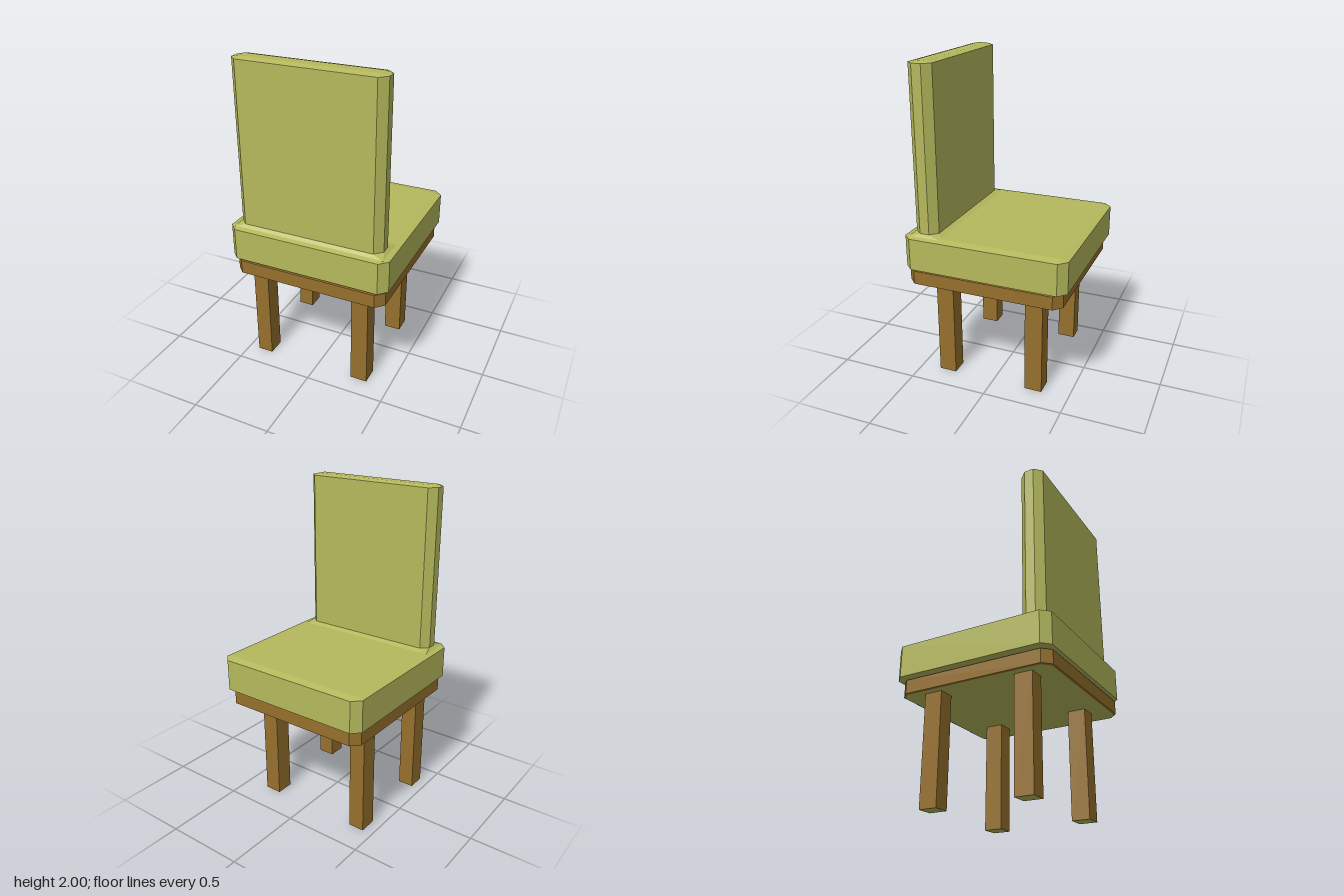
import * as THREE from 'three';

const fabric = new THREE.MeshStandardMaterial({ color: 0xb5b95c, flatShading: true });
const wood = new THREE.MeshStandardMaterial({ color: 0x96702c, flatShading: true });

// Corner-cut rectangle at height y: [y, x0, x1, z0, z1, cutX, cutZ]
function ring([y, x0, x1, z0, z1, cx, cz = cx]) {
  return [
    [x1, z0 + cz], [x1, z1 - cz], [x1 - cx, z1], [x0 + cx, z1],
    [x0, z1 - cz], [x0, z0 + cz], [x0 + cx, z0], [x1 - cx, z0],
  ].map(([x, z]) => [x, y, z]);
}

// Stack of rings, bottom to top, with both ends closed; the underside is material group 1
function stack(name, sections, material) {
  const rings = sections.map(ring);
  const n = 8;
  const positions = [];
  const tri = (...corners) => corners.forEach((p) => positions.push(...p));
  for (let k = 0; k < rings.length - 1; k++) {
    const lo = rings[k], up = rings[k + 1];
    for (let i = 0; i < n; i++) {
      const j = (i + 1) % n;
      tri(lo[i], up[i], up[j]);
      tri(lo[i], up[j], lo[j]);
    }
  }
  const top = rings[rings.length - 1], bottom = rings[0];
  for (let i = 1; i < n - 1; i++) tri(top[0], top[i + 1], top[i]);
  const sideCount = positions.length / 3;
  for (let i = 1; i < n - 1; i++) tri(bottom[0], bottom[i], bottom[i + 1]);

  const geometry = new THREE.BufferGeometry();
  geometry.setAttribute('position', new THREE.Float32BufferAttribute(positions, 3));
  geometry.addGroup(0, sideCount, 0);
  geometry.addGroup(sideCount, positions.length / 3 - sideCount, 1);
  geometry.computeVertexNormals();
  const mesh = new THREE.Mesh(geometry, [material, fabric]);
  mesh.name = name;
  return mesh;
}

export function createModel() {
  const chair = new THREE.Group();
  chair.name = 'chair';

  // Wooden seat frame with cut corners and a fabric underside
  chair.add(stack('seatFrame', [
    [0.668, -0.475, 0.48, -0.47, 0.49, 0.045],
    [0.673, -0.485, 0.49, -0.48, 0.5, 0.05],
    [0.757, -0.485, 0.49, -0.48, 0.5, 0.05],
    [0.765, -0.45, 0.455, -0.445, 0.465, 0.03],
  ], wood));

  // Seat cushion, softly bevelled above and below
  chair.add(stack('seatCushion', [
    [0.762, -0.46, 0.46, -0.46, 0.46, 0.01],
    [0.775, -0.51, 0.51, -0.51, 0.51, 0.05],
    [0.973, -0.51, 0.51, -0.51, 0.51, 0.05],
    [0.983, -0.46, 0.46, -0.46, 0.46, 0.01],
  ], fabric));

  // Backrest, flaring at its foot into the cushion
  chair.add(stack('backrest', [
    [0.97, -0.48, 0.48, 0.26, 0.48, 0.004],
    [0.977, -0.48, 0.48, 0.26, 0.48, 0.004],
    [0.996, -0.46, 0.456, 0.308, 0.457, 0.045],
    [1.99, -0.46, 0.456, 0.308, 0.457, 0.045],
    [2.0, -0.415, 0.411, 0.35, 0.415, 0.004],
  ], fabric));

  // Four square legs with fabric-coloured feet
  const legMaterials = [wood, wood, wood, fabric, wood, wood];
  for (const [side, x, width] of [['Right', -0.383, 0.1], ['Left', 0.297, 0.108]]) {
    for (const [end, z] of [['front', 0.318], ['rear', -0.27]]) {
      const leg = new THREE.Mesh(new THREE.BoxGeometry(width, 0.68, 0.112), legMaterials);
      leg.position.set(x, 0.34, z);
      leg.name = `${end}${side}Leg`;
      chair.add(leg);
    }
  }

  return chair;
}
